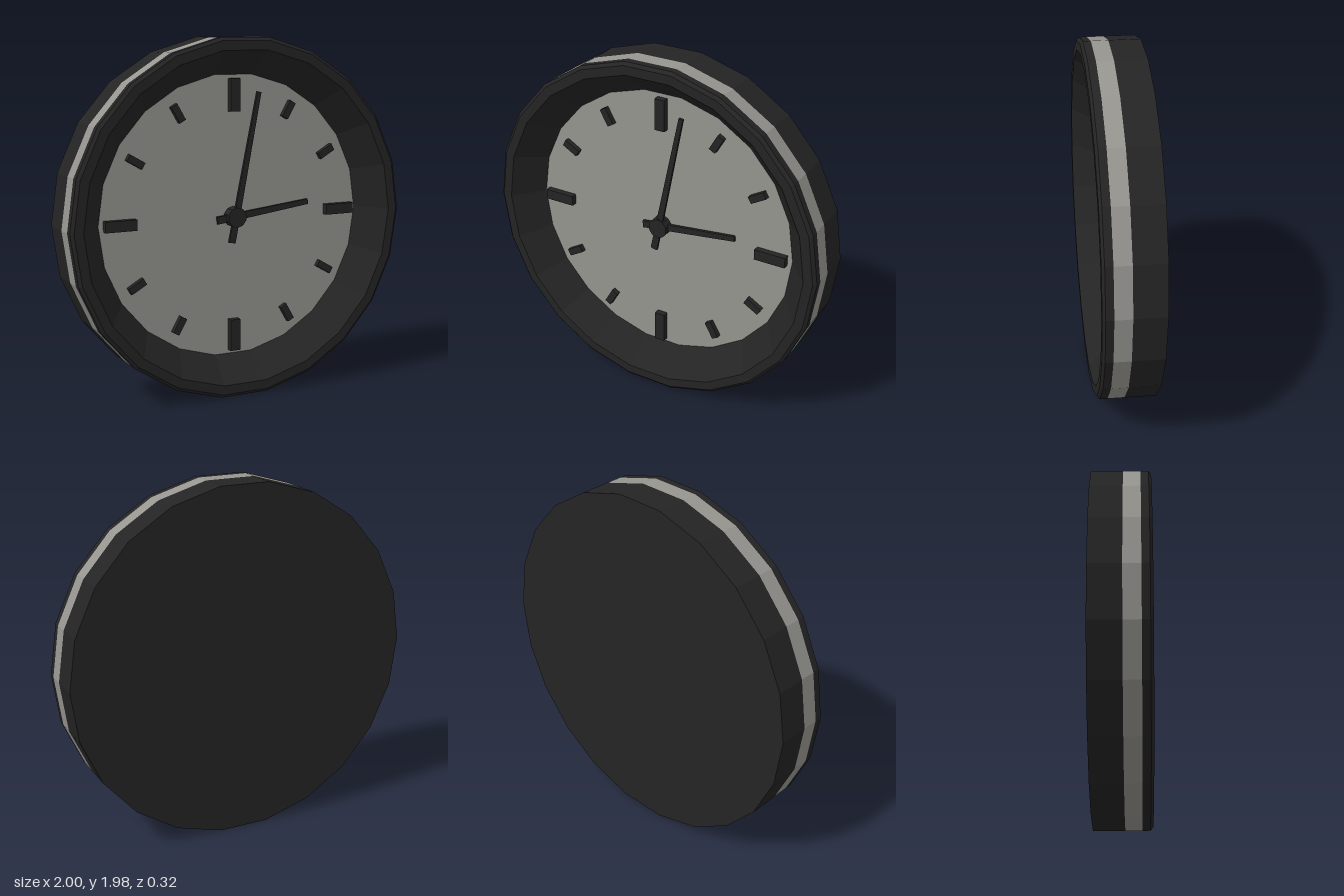
import * as THREE from 'three';

const SIDES = 22;
const CENTRE_Y = 0.99;

const casing = new THREE.MeshStandardMaterial({ color: 0x242424, flatShading: true });
casing.name = 'charcoal';
const grey = new THREE.MeshStandardMaterial({ color: 0x969590, flatShading: true });
grey.name = 'warmGrey';

// Turned part around the z axis; profile points are [radius, z]
function turned(name, profile, material) {
  const geo = new THREE.LatheGeometry(profile.map(([r, z]) => new THREE.Vector2(r, z)), SIDES, Math.PI / 2);
  geo.rotateX(Math.PI / 2);
  const mesh = new THREE.Mesh(geo, material);
  mesh.name = name;
  return mesh;
}

// Tapered hand pointing up, turned clockwise by the given angle
function hand(name, tail, tip, tailWidth, tipWidth, z, degrees) {
  const a = tailWidth / 2, b = tipWidth / 2;
  const shape = new THREE.Shape([
    new THREE.Vector2(-a, -tail), new THREE.Vector2(a, -tail),
    new THREE.Vector2(b, tip), new THREE.Vector2(-b, tip),
  ]);
  const mesh = new THREE.Mesh(new THREE.ExtrudeGeometry(shape, { depth: 0.016, bevelEnabled: false }), casing);
  mesh.name = name;
  mesh.position.z = z;
  mesh.rotation.z = -THREE.MathUtils.degToRad(degrees);
  return mesh;
}

export function createModel() {
  const clock = new THREE.Group();
  clock.name = 'wallClock';
  const body = new THREE.Group();
  body.name = 'clockBody';
  body.position.y = CENTRE_Y;
  clock.add(body);

  // Case: closed back, grey band and chamfered bezel sloping in to the dial
  body.add(turned('backCase', [[0, -0.16], [1, -0.16], [1, 0.013]], casing));
  body.add(turned('sideBand', [[1, 0.013], [1, 0.105]], grey));
  body.add(turned('bezel', [[1, 0.105], [1, 0.147], [0.982, 0.162], [0.93, 0.162], [0.922, 0.152], [0.795, 0]], casing));
  body.add(turned('dial', [[0.8, 0], [0, 0]], grey));

  // Hour markers, larger at the quarters
  for (let i = 0; i < 12; i++) {
    const quarter = i % 3 === 0;
    const geo = quarter ? new THREE.BoxGeometry(0.06, 0.18, 0.036) : new THREE.BoxGeometry(0.04, 0.1, 0.03);
    const marker = new THREE.Mesh(geo, casing);
    const angle = i * Math.PI / 6;
    marker.name = quarter ? 'quarterMarker' : 'hourMarker';
    marker.position.set(Math.sin(angle) * 0.676, Math.cos(angle) * 0.676, quarter ? 0.018 : 0.015);
    marker.rotation.z = -angle;
    body.add(marker);
  }

  // Hands and centre hub
  body.add(hand('hourHand', 0.11, 0.467, 0.042, 0.03, 0.018, 83));
  body.add(hand('minuteHand', 0.145, 0.705, 0.04, 0.025, 0.036, 11.3));
  const hub = new THREE.Mesh(new THREE.CylinderGeometry(0.057, 0.057, 0.06, 10).rotateX(Math.PI / 2), casing);
  hub.name = 'hub';
  hub.position.z = 0.03;
  body.add(hub);

  return clock;
}
